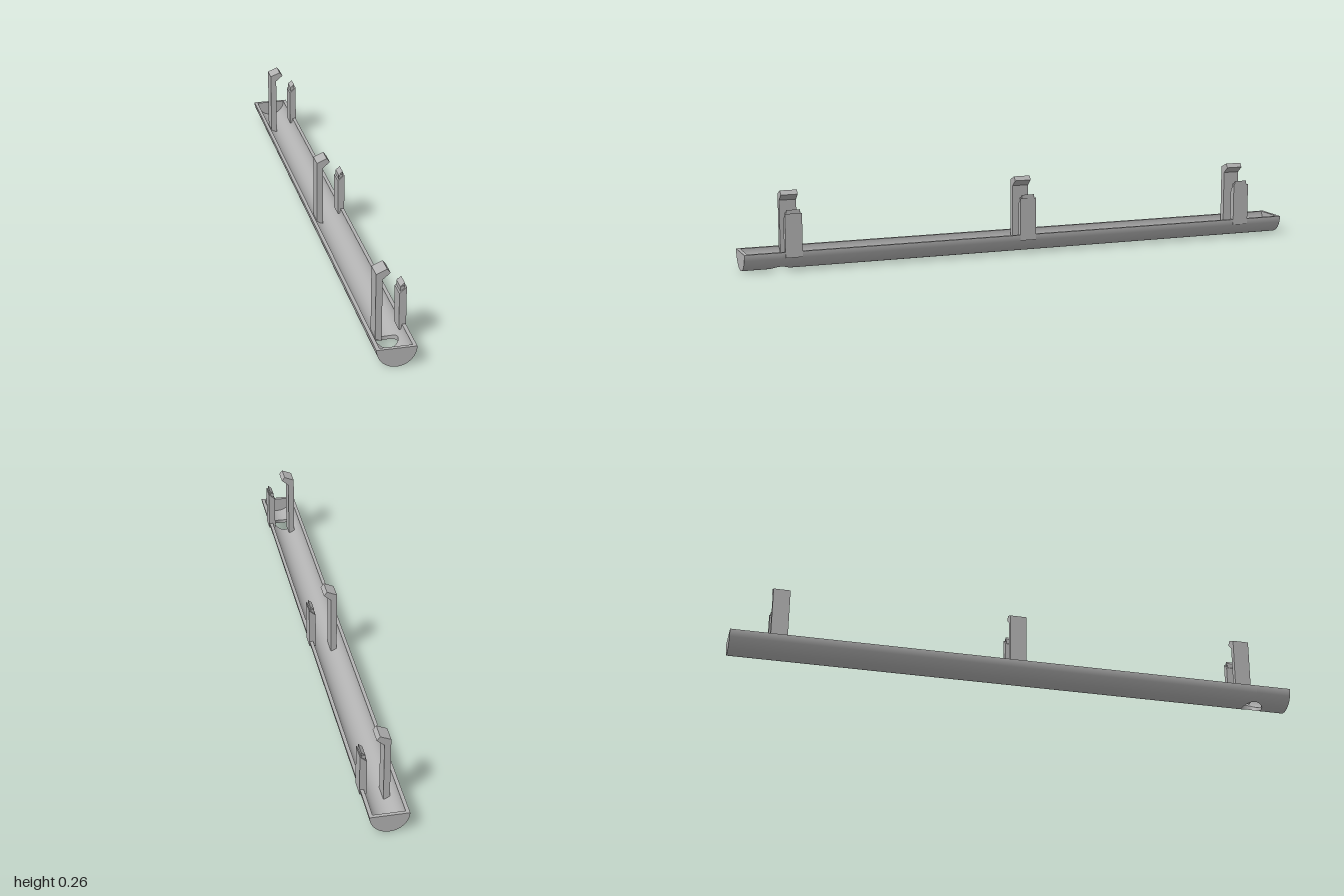
import * as THREE from 'three';

const R = 0.064, WALL = 0.012, RI = R - WALL;      // trough radii
const END = 1, INNER_END = END - WALL;             // half lengths
const CX = -0.0015;                                // trough axis offset
const HOLE_R = 0.037, HOLE_Z = 0.873;              // drain hole
const SIDE = 14, MID = 16;                         // columns beside / across the hole

const grey = new THREE.MeshStandardMaterial({ color: 0xb2b2b2 });
grey.name = 'grey plastic';

function part(name, geometry, parent) {
  const mesh = new THREE.Mesh(geometry, grey);
  mesh.name = name;
  parent.add(mesh);
  return mesh;
}

// Angles round the half pipe, with columns falling on the vertical drain hole
function angles(radius) {
  const edge = Math.asin(HOLE_R / radius), list = [];
  for (let i = 0; i < SIDE; i++) list.push(-Math.PI / 2 + (Math.PI / 2 - edge) * i / SIDE);
  for (let i = 0; i <= MID; i++) {
    const x = HOLE_R * Math.sin(Math.PI * (i / MID - 0.5));
    list.push(Math.asin(x / radius));
  }
  for (let i = 1; i <= SIDE; i++) list.push(edge + (Math.PI / 2 - edge) * i / SIDE);
  return list;
}

// One row of points across the pipe; side -1 / +1 follows the hole edge
function row(radius, z, side = 0) {
  return angles(radius).map(a => {
    const x = radius * Math.sin(a);
    const bulge = Math.sqrt(Math.max(0, HOLE_R * HOLE_R - x * x));
    return [x, R - radius * Math.cos(a), z + side * bulge];
  });
}

// Surface between two rows of equal length
function ribbon(a, b) {
  const n = a.length, index = [];
  for (let i = 0; i < n - 1; i++) index.push(i, i + 1, n + i + 1, i, n + i + 1, n + i);
  const g = new THREE.BufferGeometry();
  g.setAttribute('position', new THREE.Float32BufferAttribute([...a, ...b].flat(), 3));
  g.setIndex(index);
  g.computeVertexNormals();
  return g;
}

function halfDisc(radius) {
  const s = new THREE.Shape();
  angles(radius).forEach((a, i) => {
    const x = radius * Math.sin(a), y = R - radius * Math.cos(a);
    if (i) s.lineTo(x, y); else s.moveTo(x, y);
  });
  return new THREE.ShapeGeometry(s);
}

function rectangle(shape, w, h) {
  return shape.moveTo(-w, -h).lineTo(w, -h).lineTo(w, h).lineTo(-w, h).closePath();
}

// Profile in x and y, extruded along z and centred
function slab(points, width) {
  const s = new THREE.Shape(points.map(p => new THREE.Vector2(...p)));
  return new THREE.ExtrudeGeometry(s, { depth: width, bevelEnabled: false }).translate(0, 0, -width / 2);
}

function makeTrough() {
  const trough = new THREE.Group();
  trough.name = 'trough';
  trough.position.x = CX;
  const outLow = row(R, HOLE_Z, -1), outHigh = row(R, HOLE_Z, 1);
  const inLow = row(RI, HOLE_Z, -1), inHigh = row(RI, HOLE_Z, 1);
  part('outerShell', ribbon(row(R, -END), outLow), trough);
  part('outerShellFront', ribbon(outHigh, row(R, END)), trough);
  part('innerShell', ribbon(inLow, row(RI, -INNER_END)), trough);
  part('innerShellFront', ribbon(row(RI, INNER_END), inHigh), trough);

  // Drain hole wall
  const cut = r => r.slice(SIDE, SIDE + MID + 1);
  part('drainWallBack', ribbon(cut(outLow), cut(inLow)), trough);
  part('drainWallFront', ribbon(cut(inHigh), cut(outHigh)), trough);

  // End walls, outside and inside
  part('frontEnd', halfDisc(R).translate(0, 0, END), trough);
  part('backEnd', halfDisc(R).rotateY(Math.PI).translate(0, 0, -END), trough);
  part('frontEndInside', halfDisc(RI).rotateY(Math.PI).translate(0, 0, INNER_END), trough);
  part('backEndInside', halfDisc(RI).translate(0, 0, -INNER_END), trough);

  // Flat rim
  const rim = rectangle(new THREE.Shape(), R, END);
  rim.holes.push(rectangle(new THREE.Path(), RI, INNER_END));
  part('rim', new THREE.ShapeGeometry(rim).rotateX(-Math.PI / 2).translate(0, R, 0), trough);
  return trough;
}

function makeBracket(z) {
  const bracket = new THREE.Group();
  bracket.name = 'bracket';
  bracket.position.z = z;
  // Tall post with a bent-over hook
  part('hookPost', slab([[-0.034, 0.021], [-0.013, 0.011], [-0.013, 0.227], [0.012, 0.248],
    [0.001, 0.262], [-0.034, 0.247]], 0.058), bracket);
  // Short post set through the trough wall
  part('clipPost', slab([[0.041, 0.045], [0.064, 0.045], [0.064, 0.193], [0.041, 0.172]], 0.058), bracket);
  // Wedge catch and its small pin
  part('clipCatch', slab([[0.045, 0.174], [0.059, 0.186], [0.059, 0.205], [0.045, 0.192]], 0.046), bracket);
  part('clipPin', new THREE.CylinderGeometry(0.006, 0.006, 0.052, 12)
    .rotateX(Math.PI / 2).translate(0.052, 0.19, 0), bracket);
  return bracket;
}

export function createModel() {
  const model = new THREE.Group();
  model.name = 'gutterWithClips';
  model.add(makeTrough());
  for (const z of [-0.833, 0, 0.833]) model.add(makeBracket(z));
  return model;
}
